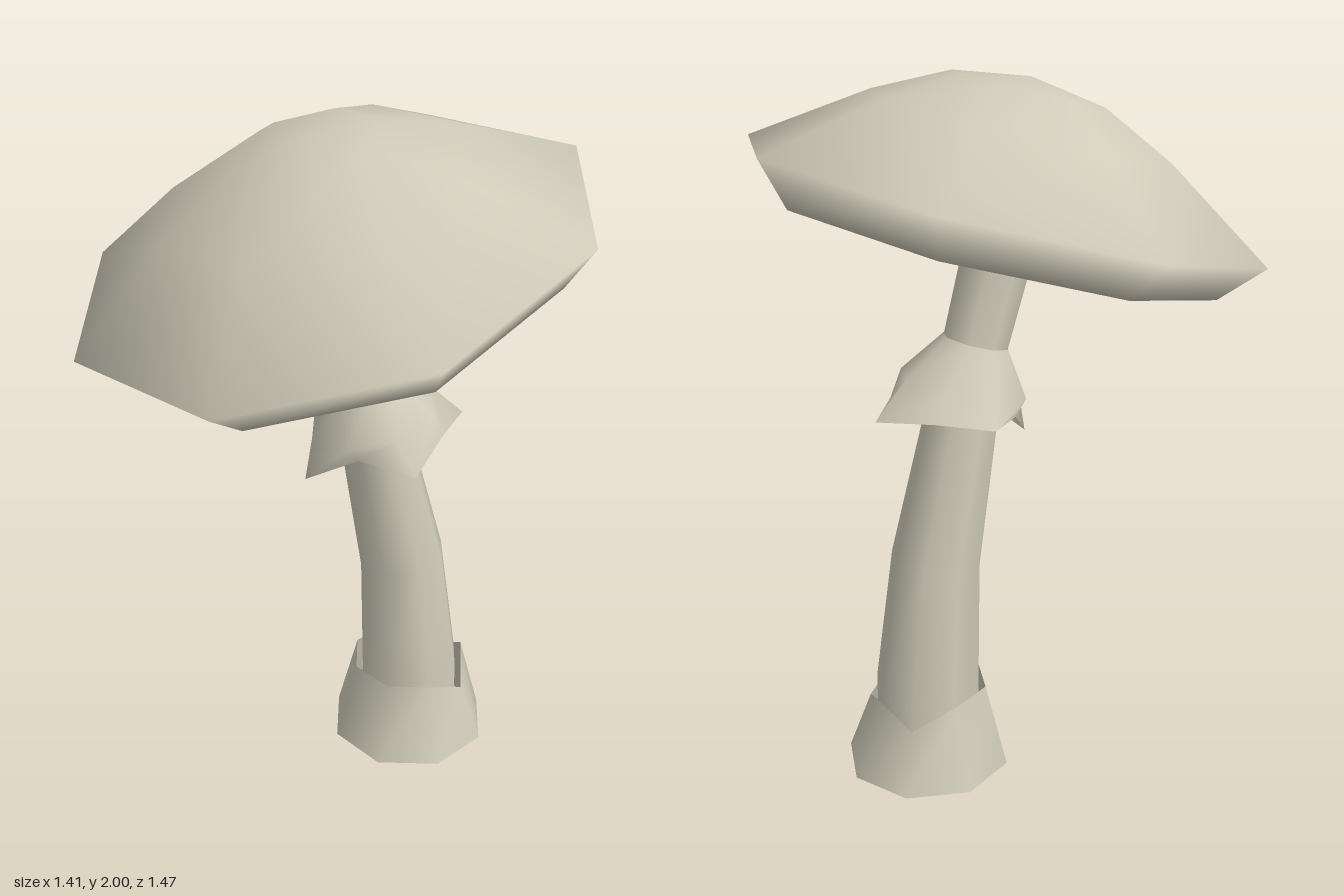
import * as THREE from 'three';
import { mergeVertices } from 'three/addons/utils/BufferGeometryUtils.js';

const SIDES = 8;

// Eight-sided ring; tilt leans its plane up towards +x
function ring(x, y, r, tilt = 0, z = 0, rz = r) {
  return Array.from({ length: SIDES }, (_, j) => {
    const a = (j / SIDES) * Math.PI * 2;
    const u = Math.cos(a) * r;
    return [x + u * Math.cos(tilt), y + u * Math.sin(tilt), z + Math.sin(a) * rz];
  });
}

// Smooth skin over rings listed from bottom to top
function loft(rings) {
  const index = [];
  for (let i = 0; i < rings.length - 1; i++) {
    for (let j = 0; j < SIDES; j++) {
      const k = (j + 1) % SIDES;
      const a = i * SIDES + j, b = i * SIDES + k;
      index.push(a, a + SIDES, b, b, a + SIDES, b + SIDES);
    }
  }
  let geo = new THREE.BufferGeometry();
  geo.setAttribute('position', new THREE.Float32BufferAttribute(rings.flat(2), 3));
  geo.setIndex(index);
  geo = mergeVertices(geo, 1e-4);
  geo.computeVertexNormals();
  return geo;
}

export function createModel() {
  const group = new THREE.Group();
  const cream = new THREE.MeshStandardMaterial({ color: 0xcfcbb9, side: THREE.DoubleSide });
  cream.name = 'cream';
  const add = (name, geo) => {
    const mesh = new THREE.Mesh(geo, cream);
    mesh.name = name;
    group.add(mesh);
    return mesh;
  };

  // Tilted cap: gill centre, lower edge, rim, dome, crown
  const tilt = 0.276;
  const profile = [[0, -0.16], [0.624, -0.114], [0.733, 0], [0.42, 0.203], [0.214, 0.302], [0, 0.335]];
  add('cap', loft(profile.map(([r, h]) =>
    ring(-Math.sin(tilt) * h, 1.65 + Math.cos(tilt) * h, r, tilt))));

  // Curved, tapering stem: x, y, radius, tilt
  add('stem', loft([
    [0.257, 0.02, 0.155, 0],
    [0.257, 0.25, 0.153, 0],
    [0.223, 0.64, 0.129, 0.1],
    [0.13, 1.075, 0.103, 0.2],
    [0.085, 1.265, 0.092, 0.28],
    [0.015, 1.5, 0.098, 0.276],
    [-0.005, 1.56, 0.098, 0.276],
  ].map((p) => ring(...p))));

  // Ragged skirt, hem heights running round from +x through +z
  const hem = ring(0.16, 0, 0.24, 0, 0.005, 0.23);
  const hemY = [1.09, 1.1, 1.05, 1.07, 0.965, 1.07, 1.09, 1.1];
  const hemIn = [1, 0.75, 1, 0.76, 1, 0.76, 1, 0.75];
  hem.forEach((p, j) => {
    p[0] = 0.16 + (p[0] - 0.16) * hemIn[j];
    p[1] = hemY[j];
    p[2] *= hemIn[j];
  });
  add('skirt', loft([
    hem,
    ring(0.12, 1.145, 0.186, 0.245, 0.01, 0.175),
    ring(0.085, 1.265, 0.094, 0.28),
  ]));

  // Flared cup at the foot with a notched lip
  const lip = ring(0.258, 0.25, 0.175);
  lip[1][1] = lip[7][1] = 0.178;
  add('footCup', loft([ring(0.26, 0, 0.24), lip]));
  const base = add('footBase', new THREE.CircleGeometry(0.24, SIDES).rotateX(Math.PI / 2));
  base.position.x = 0.26;

  return group;
}
